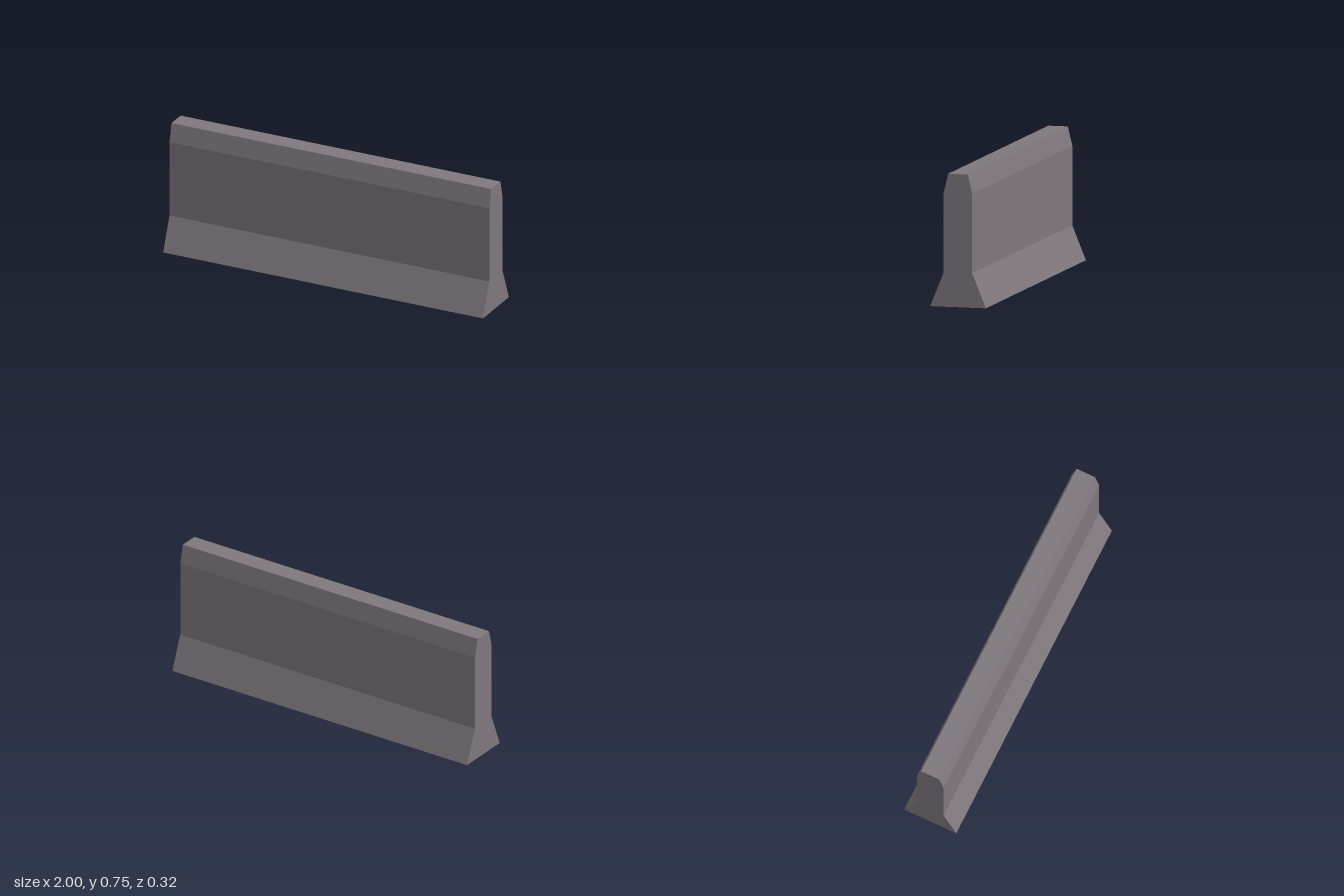
import * as THREE from 'three';

export function createModel() {
  const concrete = new THREE.MeshStandardMaterial({ color: 0x7f787d });
  concrete.name = 'concrete grey';

  // Half cross-section (half depth, height), mirrored to the other side
  const half = [[0.162, 0], [0.083, 0.195], [0.083, 0.645], [0.057, 0.752]];
  const mirrored = half.map(([d, y]) => [-d, y]).reverse();
  const profile = new THREE.Shape([...half, ...mirrored].map(([d, y]) => new THREE.Vector2(d, y)));

  // Extrude the profile along the barrier's length and lay it along x
  const length = 2;
  const geometry = new THREE.ExtrudeGeometry(profile, { depth: length, bevelEnabled: false });
  geometry.translate(0, 0, -length / 2);
  geometry.rotateY(Math.PI / 2);

  const barrier = new THREE.Mesh(geometry, concrete);
  barrier.name = 'barrierBody';

  const model = new THREE.Group();
  model.name = 'concreteBarrier';
  model.add(barrier);
  return model;
}
